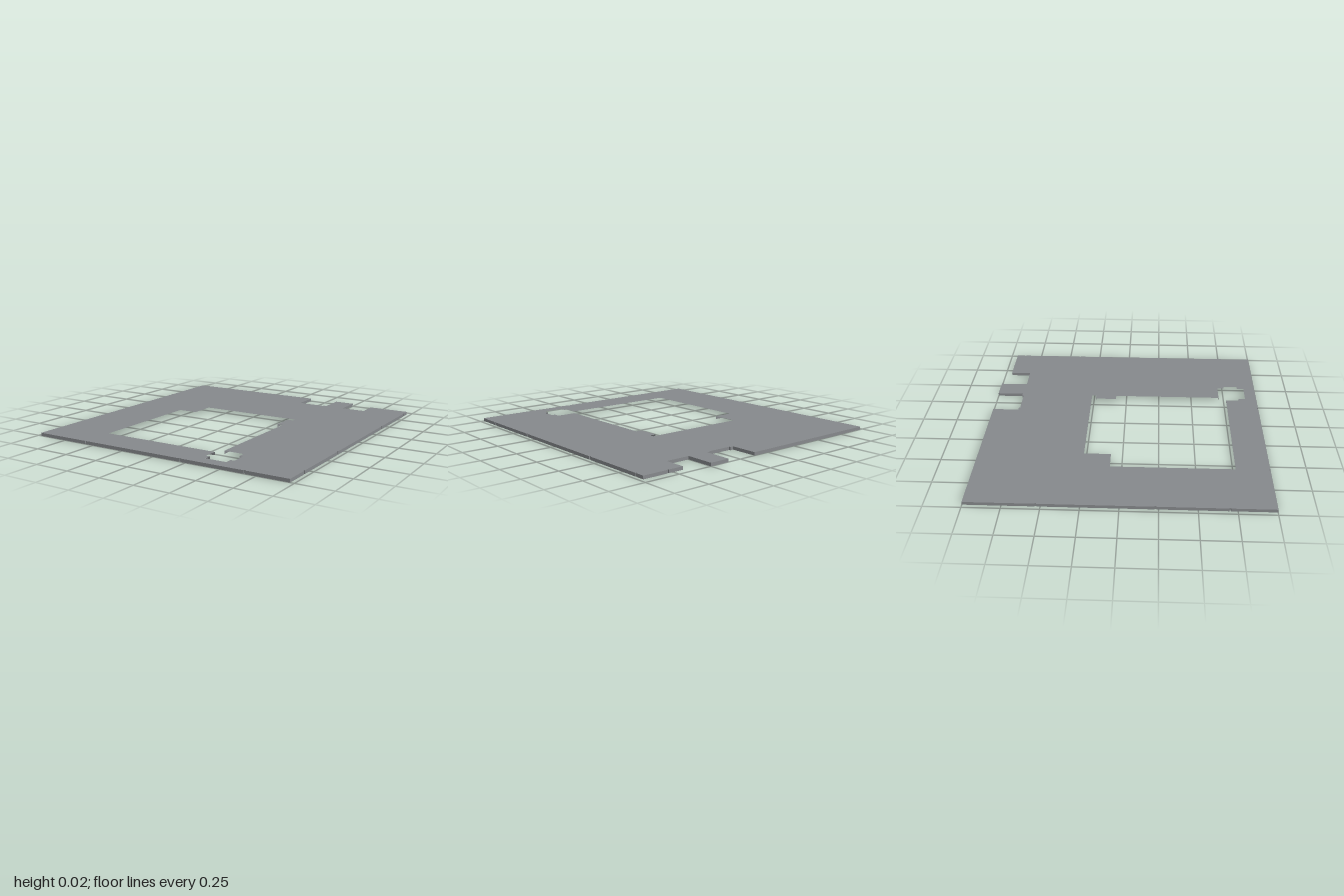
import * as THREE from 'three';

const W = 0.973, D = 1, T = 0.022;
const CHIP = 0.006; // half width and depth of the small nicks along the rim

// Plan points are [x, z]; the shape plane uses y = -z
const toPlan = (pts) => pts.map(([x, z]) => new THREE.Vector2(x, -z));

// Nicks on an edge: place(t, depth) gives a plan point at t along the edge
const nicks = (positions, dir, place) => positions.flatMap((t) => [
  place(t - dir * CHIP, 0), place(t - dir * CHIP, CHIP),
  place(t + dir * CHIP, CHIP), place(t + dir * CHIP, 0),
]);

export function createModel() {
  const group = new THREE.Group();
  group.name = 'floorSlab';

  // Outer outline with two slots in the back edge and a stepped back corner
  const outline = [
    [-W, -D], [0.124, -D], [0.124, -0.81], [0.15, -0.81], [0.15, -0.8],
    [0.33, -0.8], [0.33, -0.81], [0.354, -0.81], [0.354, -D], [0.5, -D],
    [0.5, -0.8], [0.677, -0.8], [0.677, -0.947],
    ...nicks([0.79], 1, (x, d) => [x, -0.947 + d]),
    [W, -0.947],
    ...nicks([-0.88, -0.415, 0.35, 0.82], 1, (z, d) => [W - d, z]),
    [W, D],
    ...nicks([0.673, 0.21, -0.56], -1, (x, d) => [x, D - d]),
    [-W, D],
    ...nicks([0.7, 0.23, -0.53], -1, (z, d) => [-W + d, z]),
  ];

  // Large opening joined to a small stepped opening at the front right of it
  const opening = [
    [-0.42, -0.267], [0.35, -0.267], [0.35, -0.235], [0.304, -0.235],
    [0.304, -0.08], [0.35, -0.08], [0.35, 0.712], [0.493, 0.712],
    [0.493, 0.762], [0.52, 0.762], [0.52, 0.865], [0.493, 0.865],
    [0.493, 0.915], [0.343, 0.915], [0.343, 0.865], [0.314, 0.865],
    [0.314, 0.767], [-0.563, 0.767], [-0.563, -0.08], [-0.42, -0.08],
  ];

  const shape = new THREE.Shape(toPlan(outline));
  shape.holes.push(new THREE.Path(toPlan(opening)));
  const geometry = new THREE.ExtrudeGeometry(shape, { depth: T, bevelEnabled: false });
  geometry.rotateX(-Math.PI / 2);

  const slab = new THREE.Mesh(geometry, new THREE.MeshStandardMaterial({ color: 0x86898c }));
  slab.name = 'slab';
  group.add(slab);
  return group;
}
